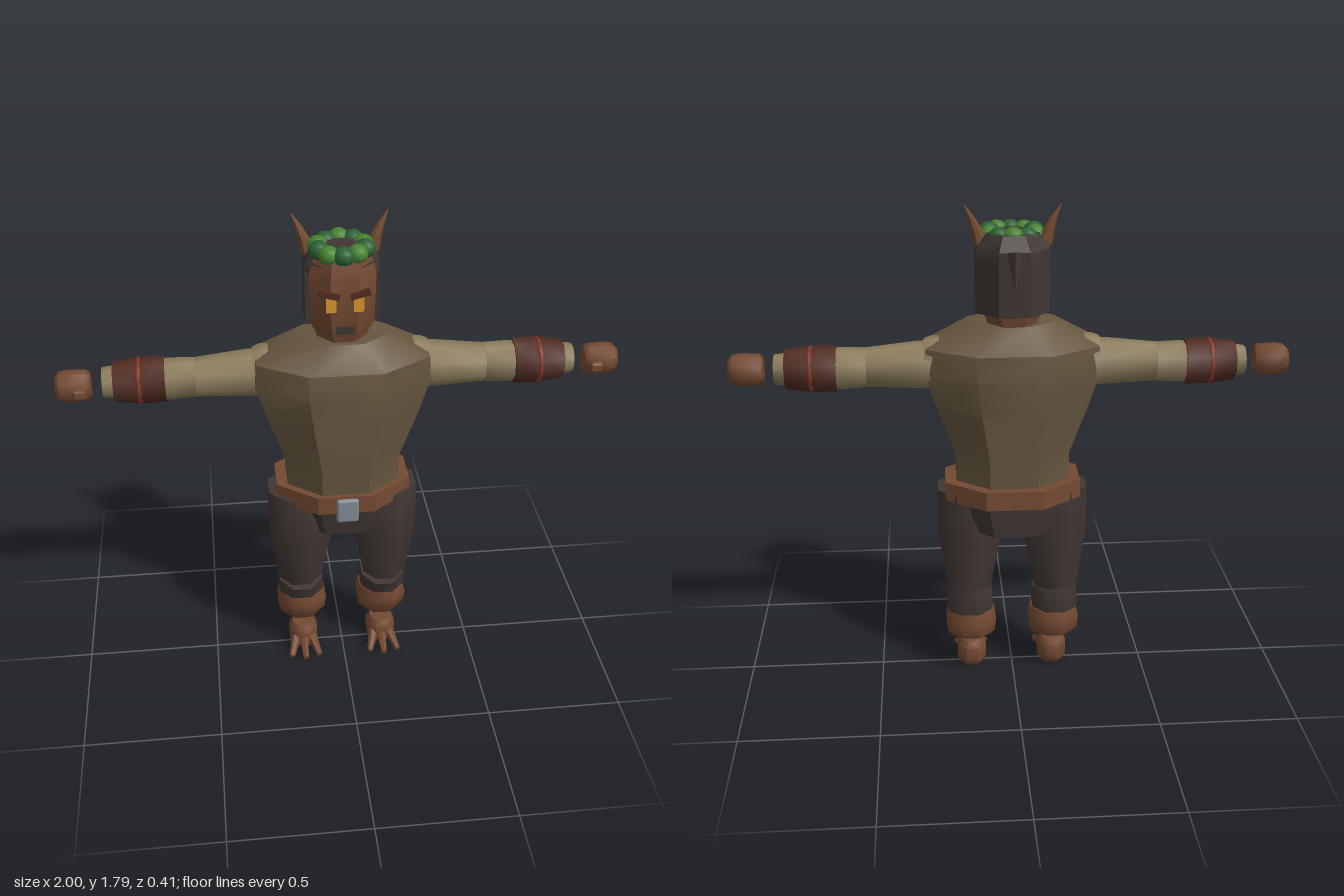
import * as THREE from 'three';
import { toCreasedNormals } from 'three/addons/utils/BufferGeometryUtils.js';
import { RoundedBoxGeometry } from 'three/addons/geometries/RoundedBoxGeometry.js';

const material = (name, color) => {
  const m = new THREE.MeshStandardMaterial({ color });
  m.name = name;
  return m;
};

// Eight-sided horizontal section: half width, front z, back z, centre x, slope along z, front limit
function oct(y, hx, zf, zb, cx = 0, slope = 0, limit = 9) {
  const mid = (zf + zb) / 2, h = (zf - zb) / 2;
  const corners = [[1, 0.4], [1, -0.4], [0.42, -1], [-0.42, -1], [-1, -0.4], [-1, 0.4], [-0.42, 1], [0.42, 1]];
  return corners.map(([x, z]) => {
    const pz = Math.min(mid + z * h, limit);
    return [cx + x * hx, y + slope * pz, pz];
  });
}

// Skin a stack of sections, bottom to top, and close both ends
function loft(rings, crease = 0.6) {
  const n = rings[0].length, pos = rings.flat(2), idx = [];
  for (let r = 0; r < rings.length - 1; r++) {
    for (let i = 0; i < n; i++) {
      const a = r * n + i, b = r * n + (i + 1) % n;
      idx.push(a, b, b + n, a, b + n, a + n);
    }
  }
  const top = (rings.length - 1) * n;
  for (let i = 1; i < n - 1; i++) idx.push(0, i + 1, i, top, top + i, top + i + 1);
  const g = new THREE.BufferGeometry();
  g.setAttribute('position', new THREE.Float32BufferAttribute(pos, 3));
  g.setIndex(idx);
  return toCreasedNormals(g, crease);
}

// Loft along the arm: entries are [x, radius y, radius z, centre offset y]
function armLoft(sections) {
  const rings = sections.map(([x, ry, rz, dy = 0]) => oct(x, ry, rz, -rz, -dy));
  return loft(rings, 0.9).rotateZ(-Math.PI / 2).translate(0, 1.212, -0.024);
}

// Tapered rod between two points
function rod(a, b, r0, r1, sides = 6) {
  const p = new THREE.Vector3(...a), q = new THREE.Vector3(...b), d = q.clone().sub(p);
  const g = new THREE.CylinderGeometry(r1, r0, d.length(), sides);
  g.applyQuaternion(new THREE.Quaternion().setFromUnitVectors(new THREE.Vector3(0, 1, 0), d.clone().normalize()));
  p.add(q).multiplyScalar(0.5);
  return toCreasedNormals(g.translate(p.x, p.y, p.z), 0.6);
}

export function createModel() {
  const model = new THREE.Group();
  model.name = 'hornedFigure';
  const tunic = material('tunic', 0x66563f);
  const sleeveCloth = material('sleeveCloth', 0x8c7d5c);
  const skin = material('skinAndLeather', 0x744a32);
  const dark = material('darkCloth', 0x403632);
  const maroon = material('maroonLeather', 0x512c23);
  const red = material('redCord', 0x86382a);
  const metal = material('metal', 0x838b94);
  const greenDark = material('darkLeaf', 0x2b6136);
  const greenLight = material('lightLeaf', 0x47822f);
  const amber = material('amber', 0xd8942c);

  const add = (parent, name, geometry, mat) => {
    const mesh = new THREE.Mesh(geometry, mat);
    mesh.name = name;
    parent.add(mesh);
    return mesh;
  };

  // Torso, belt and hips
  add(model, 'tunic', loft([
    oct(0.77, 0.205, 0.145, -0.165), oct(0.89, 0.205, 0.155, -0.172),
    oct(1.07, 0.27, 0.17, -0.19), oct(1.2, 0.31, 0.175, -0.205),
    oct(1.29, 0.305, 0.17, -0.195), oct(1.375, 0.155, 0.105, -0.115)
  ]), tunic);
  add(model, 'belt', loft([oct(0.72, 0.245, 0.165, -0.2), oct(0.79, 0.245, 0.165, -0.2)]), skin);
  add(model, 'buckle', new RoundedBoxGeometry(0.08, 0.095, 0.022, 2, 0.01).translate(0, 0.755, 0.198), metal);
  add(model, 'hips', loft([
    oct(0.6, 0.17, 0.125, -0.17), oct(0.66, 0.2, 0.135, -0.175), oct(0.74, 0.22, 0.148, -0.18)
  ]), dark);

  // Head and hair
  const head = new THREE.Group();
  head.name = 'head';
  model.add(head);
  add(head, 'face', loft([
    oct(1.35, 0.085, 0.08, -0.11), oct(1.385, 0.09, 0.085, -0.12), oct(1.43, 0.11, 0.103, -0.13),
    oct(1.61, 0.115, 0.105, -0.13), oct(1.66, 0.1, 0.09, -0.12)
  ]), skin);
  add(head, 'backHair', loft([1.42, 1.61].map(y => oct(y, 0.128, 0.105, -0.17, 0, 0, 0.02))), dark);
  add(head, 'hairCap', loft([
    oct(1.605, 0.128, 0.088, -0.17), oct(1.645, 0.126, 0.085, -0.17), oct(1.695, 0.09, 0.055, -0.135)
  ]), dark);
  add(head, 'hairTuft', rod([0, 1.645, -0.165], [0, 1.53, -0.198], 0.028, 0.003, 4), dark);
  add(head, 'mouth', new THREE.BoxGeometry(0.062, 0.028, 0.009).translate(0, 1.43, 0.104), dark);

  // Leaf wreath
  const wreath = new THREE.Group();
  wreath.name = 'leafWreath';
  head.add(wreath);
  const leafCount = 10;
  for (let i = 0; i < leafCount; i++) {
    const a = (i / leafCount) * Math.PI * 2;
    const leaf = add(wreath, 'leaf', new THREE.SphereGeometry(0.037, 10, 7), i % 2 ? greenLight : greenDark);
    leaf.scale.set(1, 0.9, 1);
    leaf.position.set(Math.sin(a) * 0.082, 1.681 + (i % 3) * 0.002, -0.015 + Math.cos(a) * 0.08);
  }

  // Mirrored parts
  for (const side of [1, -1]) {
    const half = new THREE.Group();
    half.name = side > 0 ? 'leftSide' : 'rightSide';
    half.scale.x = side;
    model.add(half);

    // Eye, brow and curved horn
    add(half, 'eye', new THREE.BoxGeometry(0.034, 0.052, 0.009).translate(0.047, 1.525, 0.105), amber);
    add(half, 'brow', new THREE.BoxGeometry(0.07, 0.022, 0.015).rotateZ(0.25).translate(0.052, 1.562, 0.105), maroon);
    add(half, 'horn', loft([
      oct(1.65, 0.026, -0.032, -0.08, 0.108), oct(1.7, 0.02, -0.037, -0.077, 0.122),
      oct(1.74, 0.013, -0.048, -0.074, 0.138), oct(1.79, 0.002, -0.063, -0.067, 0.164)
    ]), skin);

    // Arm
    add(half, 'shoulder', armLoft([
      [0.24, 0.085, 0.08, 0.02], [0.285, 0.085, 0.078, 0.02], [0.312, 0.078, 0.07, 0.018]
    ]), sleeveCloth);
    add(half, 'upperSleeve', armLoft([
      [0.25, 0.082, 0.078, 0.008], [0.34, 0.078, 0.075, 0.008], [0.515, 0.066, 0.06, 0.002]
    ]), sleeveCloth);
    add(half, 'lowerSleeve', armLoft([
      [0.515, 0.066, 0.062, 0.002], [0.6, 0.07, 0.065], [0.7, 0.065, 0.06], [0.838, 0.05, 0.047]
    ]), sleeveCloth);
    add(half, 'bracer', armLoft([
      [0.62, 0.076, 0.074], [0.71, 0.077, 0.076], [0.8, 0.066, 0.064]
    ]), maroon);
    add(half, 'bracerCord', new THREE.TorusGeometry(0.075, 0.009, 6, 16)
      .rotateY(Math.PI / 2).translate(0.71, 1.212, -0.024), red);
    add(half, 'hand', armLoft([
      [0.878, 0.042, 0.036], [0.892, 0.053, 0.046], [0.955, 0.055, 0.05], [0.985, 0.05, 0.047], [1, 0.036, 0.032]
    ]).translate(0, -0.002, 0.012), skin);
    add(half, 'thumb', new RoundedBoxGeometry(0.045, 0.036, 0.04, 1, 0.01).translate(0.915, 1.203, 0.036), skin);

    // Leg
    add(half, 'thigh', loft([
      oct(0.34, 0.08, 0.08, -0.105, 0.163), oct(0.56, 0.115, 0.12, -0.12, 0.158),
      oct(0.66, 0.117, 0.118, -0.122, 0.159), oct(0.745, 0.115, 0.105, -0.12, 0.16)
    ], 0.9), dark);
    add(half, 'shin', loft([
      oct(0.22, 0.08, 0.05, -0.11, 0.16), oct(0.28, 0.086, 0.06, -0.12, 0.16, -0.1),
      oct(0.328, 0.083, 0.075, -0.11, 0.16, -0.22)
    ], 0.9), dark);
    add(half, 'bootCuff', loft([
      oct(0.134, 0.07, 0.025, -0.095, 0.157, -0.12), oct(0.165, 0.089, 0.052, -0.122, 0.157),
      oct(0.215, 0.094, 0.065, -0.126, 0.157), oct(0.255, 0.084, 0.06, -0.118, 0.157)
    ], 0.9), skin);
    add(half, 'foot', loft([
      oct(0, 0.042, 0.045, -0.045, 0.155), oct(0.025, 0.054, 0.06, -0.062, 0.155),
      oct(0.08, 0.054, 0.06, -0.062, 0.155), oct(0.105, 0.04, 0.045, -0.048, 0.155)
    ], 0.9), skin);
    for (const spread of [-1, 0, 1]) {
      add(half, 'toe', rod(
        [0.155 + spread * 0.028, 0.05, 0.03],
        [0.155 + spread * 0.055, 0.017, 0.135 - Math.abs(spread) * 0.015], 0.021, 0.011
      ), skin);
    }
  }
  return model;
}
